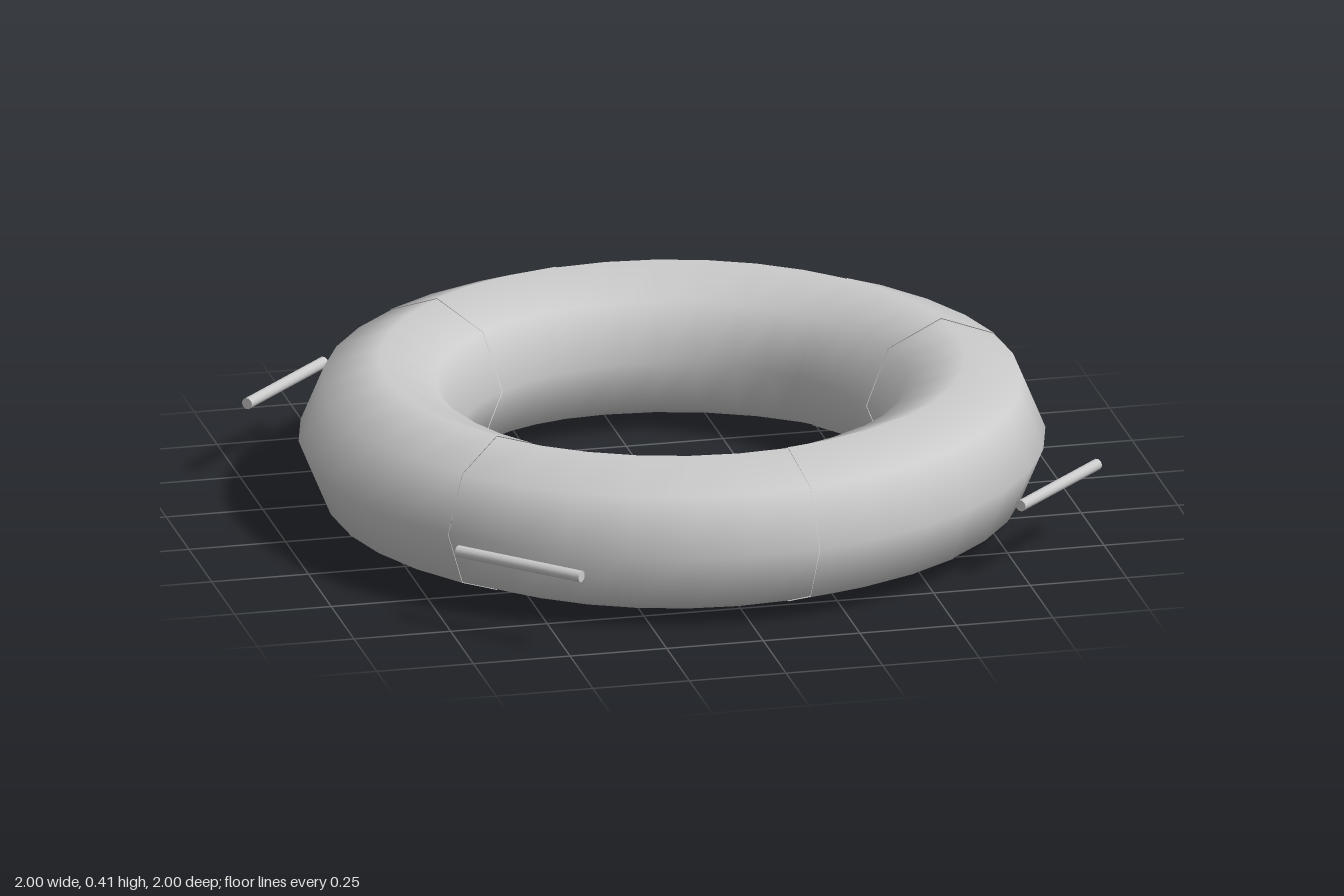
import * as THREE from 'three';

const RING_RADIUS = 0.738;
const CENTRE_Y = 0.211;
const rad = THREE.MathUtils.degToRad;

export function createModel() {
  const group = new THREE.Group();
  const material = new THREE.MeshStandardMaterial({ color: 0xcccccc, side: THREE.DoubleSide });

  const add = (name, geometry, parent) => {
    const mesh = new THREE.Mesh(geometry, material);
    mesh.name = name;
    parent.add(mesh);
    return mesh;
  };

  // Arc of the ring lying flat, eight-sided in section
  const ringArc = (tube, startDeg, arcDeg) =>
    new THREE.TorusGeometry(RING_RADIUS, tube, 8, arcDeg / 10, rad(arcDeg))
      .rotateX(-Math.PI / 2)
      .rotateY(rad(startDeg));

  const bandGeometry = ringArc(0.206, 10, 30);
  const bodyGeometry = ringArc(0.204, 40, 60);
  const gripGeometry = new THREE.CylinderGeometry(0.015, 0.015, 0.366, 10).rotateZ(Math.PI / 2);

  // The same quarter is repeated four times around the ring
  for (let i = 0; i < 4; i++) {
    const quarter = new THREE.Group();
    quarter.name = 'ringQuarter';
    quarter.position.y = CENTRE_Y;
    quarter.rotation.y = i * Math.PI / 2;
    add('ringBody', bodyGeometry, quarter);
    add('ringBand', bandGeometry, quarter);

    // Straight grip bar floating outside the ring
    const grip = add('gripBar', gripGeometry, quarter);
    grip.position.set(0.86, 0, 0.597);
    grip.rotation.y = Math.PI / 4;
    group.add(quarter);
  }

  return group;
}
